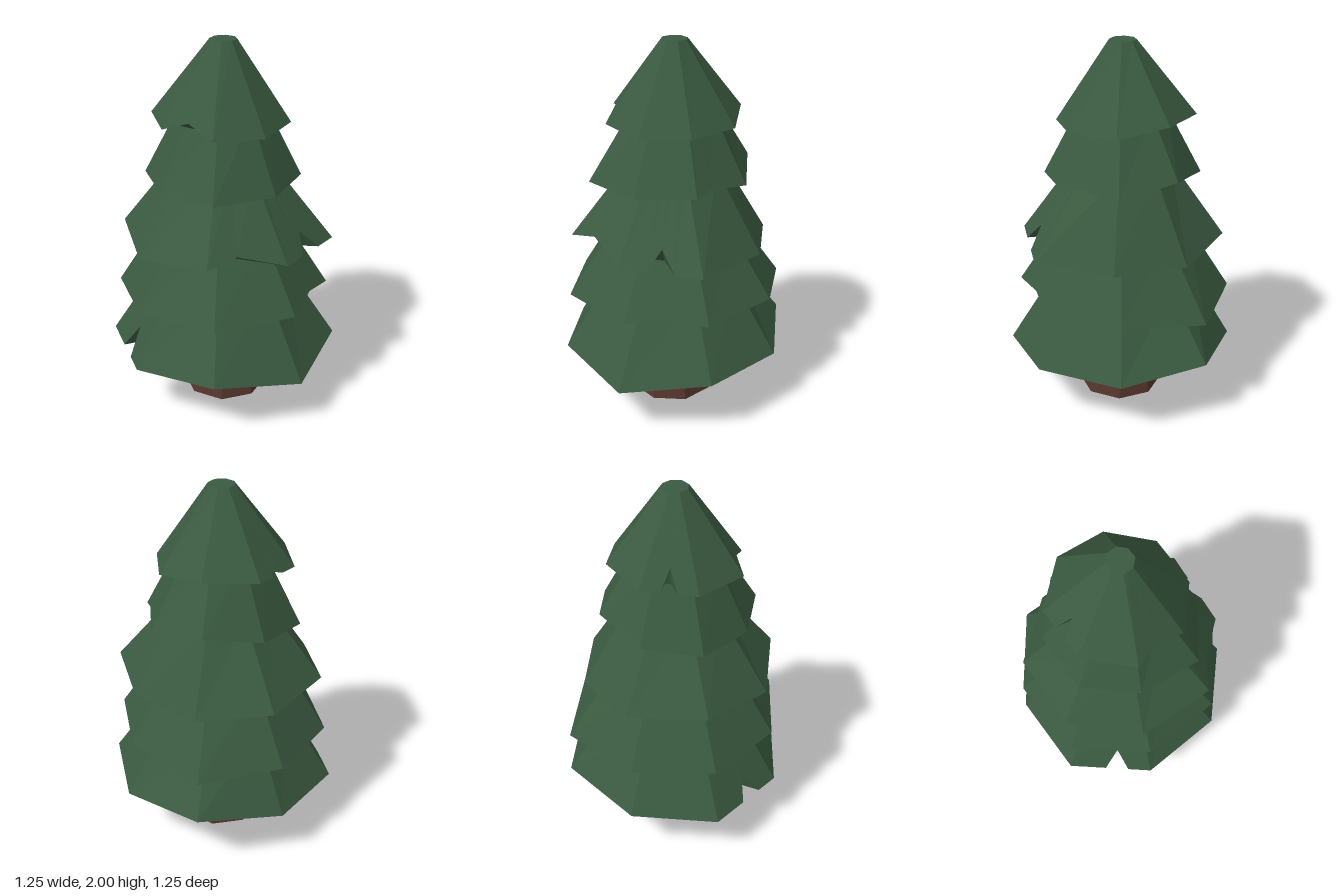
import * as THREE from 'three';

const green = new THREE.MeshStandardMaterial({ color: 0x3a5a40, flatShading: true });
const brown = new THREE.MeshStandardMaterial({ color: 0x56362d, flatShading: true });

// Eight corners around the axis; r and y may vary by corner.
function octagon(turn, r, y) {
  return Array.from({ length: 8 }, (_, k) => {
    const a = (k * 45 + turn) * Math.PI / 180;
    return new THREE.Vector3(r(k) * Math.cos(a), y(k), r(k) * Math.sin(a));
  });
}

// Skins consecutive rings of equal length with flat facets.
function skin(rings) {
  const pos = [];
  const n = rings[0].length;
  for (let i = 0; i < rings.length - 1; i++) {
    const A = rings[i], B = rings[i + 1];
    for (let j = 0; j < n; j++) {
      const k = (j + 1) % n;
      for (const tri of [[A[j], B[j], A[k]], [A[k], B[j], B[k]]]) {
        if (tri[0].equals(tri[1]) || tri[1].equals(tri[2]) || tri[0].equals(tri[2])) continue;
        for (const p of tri) pos.push(p.x, p.y, p.z);
      }
    }
  }
  const g = new THREE.BufferGeometry();
  g.setAttribute('position', new THREE.Float32BufferAttribute(pos, 3));
  g.computeVertexNormals();
  return g;
}

// A hollow skirt of branches: uneven rim, narrow top, recessed underside.
// Each cut lifts a point on one rim edge; width 0 makes a shallow bend, otherwise a V notch.
function tier({ name, turn, radii, heights, topR, topY, cuts }) {
  const mean = heights.reduce((s, h) => s + h, 0) / 8;
  const ceilY = mean + (topY - mean) * 0.65;
  const rim = octagon(turn, k => radii[k], k => heights[k]);
  const top = octagon(turn, () => topR, () => topY);
  const inner = octagon(turn, k => radii[k] * 0.72, k => (heights[k] + mean) / 2);
  const ceil = octagon(turn, k => Math.min(radii[k] * 0.6, topR), () => ceilY);

  // Sample all rings at the corners and at the cut points.
  const samples = [];
  for (let k = 0; k < 8; k++) {
    samples.push([k, 0, 0]);
    for (const c of cuts.filter(c => c.edge === k)) {
      if (c.width) samples.push([k, c.t - c.width, 0]);
      samples.push([k, c.t, c.lift]);
      if (c.width) samples.push([k, c.t + c.width, 0]);
    }
  }
  const along = ring => samples.map(([k, t]) => ring[k].clone().lerp(ring[(k + 1) % 8], t));
  const outerTop = along(top);
  const outerRim = along(rim).map((p, i) => {
    const lift = samples[i][2];
    return p.lerp(outerTop[i], lift / (topY - p.y)); // slide up the slope
  });
  const centre = y => samples.map(() => new THREE.Vector3(0, y, 0));

  const mesh = new THREE.Mesh(
    skin([centre(ceilY), along(ceil), along(inner), outerRim, outerTop, centre(topY)]), green);
  mesh.name = name;
  return mesh;
}

const tiers = [
  {
    name: 'bottomBranches', turn: 0, topR: 0.36, topY: 0.72,
    radii: [0.62, 0.635, 0.62, 0.61, 0.625, 0.595, 0.63, 0.61],
    heights: [0.33, 0.27, 0.33, 0.30, 0.30, 0.31, 0.37, 0.33],
    cuts: [{ edge: 3, t: 0.42, width: 0.14, lift: 0.14 }],
  },
  {
    name: 'lowerBranches', turn: 0, topR: 0.33, topY: 1.02,
    radii: [0.57, 0.57, 0.59, 0.575, 0.58, 0.58, 0.62, 0.57],
    heights: [0.65, 0.65, 0.645, 0.63, 0.62, 0.62, 0.61, 0.66],
    cuts: [{ edge: 0, t: 0.45, width: 0, lift: 0.03 }],
  },
  {
    name: 'middleBranches', turn: 4, topR: 0.25, topY: 1.36,
    radii: [0.59, 0.545, 0.56, 0.54, 0.55, 0.54, 0.51, 0.52],
    heights: [0.94, 0.95, 0.98, 0.93, 0.97, 0.95, 0.92, 0.93],
    cuts: [
      { edge: 0, t: 0.5, width: 0.17, lift: 0.1 },
      { edge: 1, t: 0.62, width: 0, lift: 0.05 },
    ],
  },
  {
    name: 'upperBranches', turn: 2, topR: 0.22, topY: 1.66,
    radii: [0.41, 0.42, 0.46, 0.41, 0.42, 0.41, 0.41, 0.42],
    heights: [1.29, 1.28, 1.28, 1.27, 1.27, 1.30, 1.35, 1.29],
    cuts: [{ edge: 7, t: 0.7, width: 0, lift: 0.025 }],
  },
  {
    name: 'topBranches', turn: 4, topR: 0.07, topY: 2,
    radii: [0.35, 0.35, 0.36, 0.38, 0.38, 0.38, 0.36, 0.355],
    heights: [1.58, 1.57, 1.58, 1.60, 1.60, 1.62, 1.63, 1.59],
    cuts: [
      { edge: 2, t: 0.55, width: 0, lift: 0.05 },
      { edge: 4, t: 0.5, width: 0.14, lift: 0.1 },
    ],
  },
];

export function createModel() {
  const tree = new THREE.Group();
  tree.name = 'pineTree';

  // Tapered eight-sided trunk reaching up into the lowest skirt
  const trunk = new THREE.Mesh(new THREE.CylinderGeometry(0.12, 0.232, 0.62, 8), brown);
  trunk.name = 'trunk';
  trunk.position.set(0.01, 0.31, 0.015);
  tree.add(trunk);

  for (const t of tiers) tree.add(tier(t));
  return tree;
}
